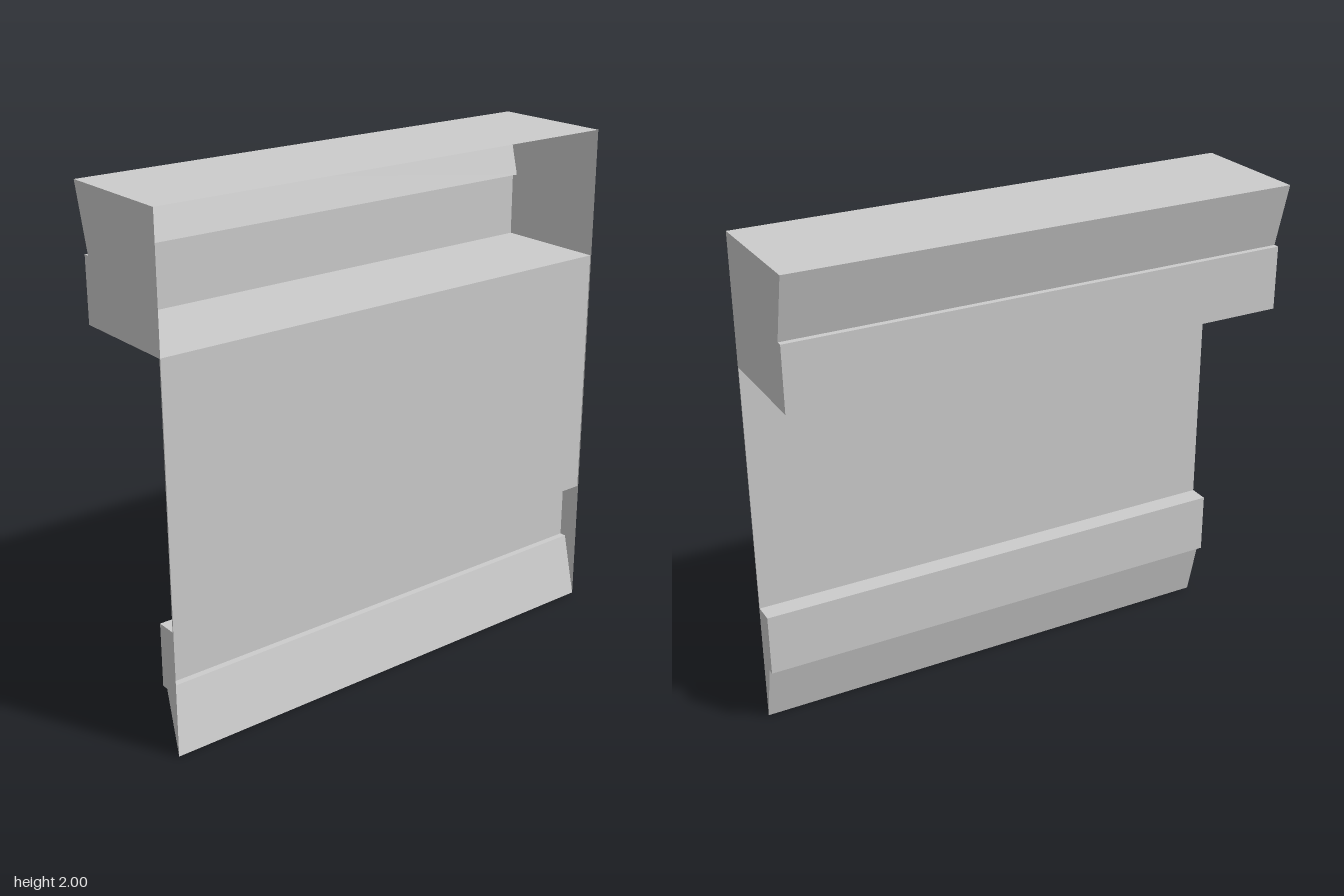
import * as THREE from 'three';

const HALF = 1;      // half the width
const FRONT = 0.25;  // z of the open front
const material = new THREE.MeshStandardMaterial({ color: 0xcccccc, side: THREE.DoubleSide, flatShading: true });

// Cross-sections as [z, y], running down the back of the shell
const cornice = [[FRONT, 2], [-0.25, 2], [-0.185, 1.75], [-0.208, 1.75], [-0.208, 1.5], [0.245, 1.5]];
const panel = [[0.245, 1.5], [0.245, 0.5]];
const plinth = [[0.245, 0.5], [0.164, 0.5], [0.164, 0.25], [0.19, 0.25], [FRONT, 0]];

// Sweeps a cross-section along x as flat strips
function sweep(profile, name) {
  const pos = [];
  for (let i = 0; i < profile.length - 1; i++) {
    const [z0, y0] = profile[i];
    const [z1, y1] = profile[i + 1];
    pos.push(-HALF, y0, z0, HALF, y1, z1, HALF, y0, z0);
    pos.push(-HALF, y0, z0, -HALF, y1, z1, HALF, y1, z1);
  }
  const geometry = new THREE.BufferGeometry();
  geometry.setAttribute('position', new THREE.Float32BufferAttribute(pos, 3));
  geometry.computeVertexNormals();
  const mesh = new THREE.Mesh(geometry, material);
  mesh.name = name;
  return mesh;
}

export function createModel() {
  const group = new THREE.Group();
  group.name = 'wallSection';
  group.add(sweep(cornice, 'cornice'), sweep(panel, 'panel'), sweep(plinth, 'plinth'));

  // End walls close the shell at both sides; the front stays open
  const outline = [...cornice, ...plinth].map(([z, y]) => new THREE.Vector2(z, y));
  for (const side of [-1, 1]) {
    const geometry = new THREE.ShapeGeometry(new THREE.Shape(outline));
    geometry.rotateY(-Math.PI / 2);
    const end = new THREE.Mesh(geometry, material);
    end.position.x = side * HALF;
    end.name = side > 0 ? 'leftEndWall' : 'rightEndWall';
    group.add(end);
  }
  return group;
}
